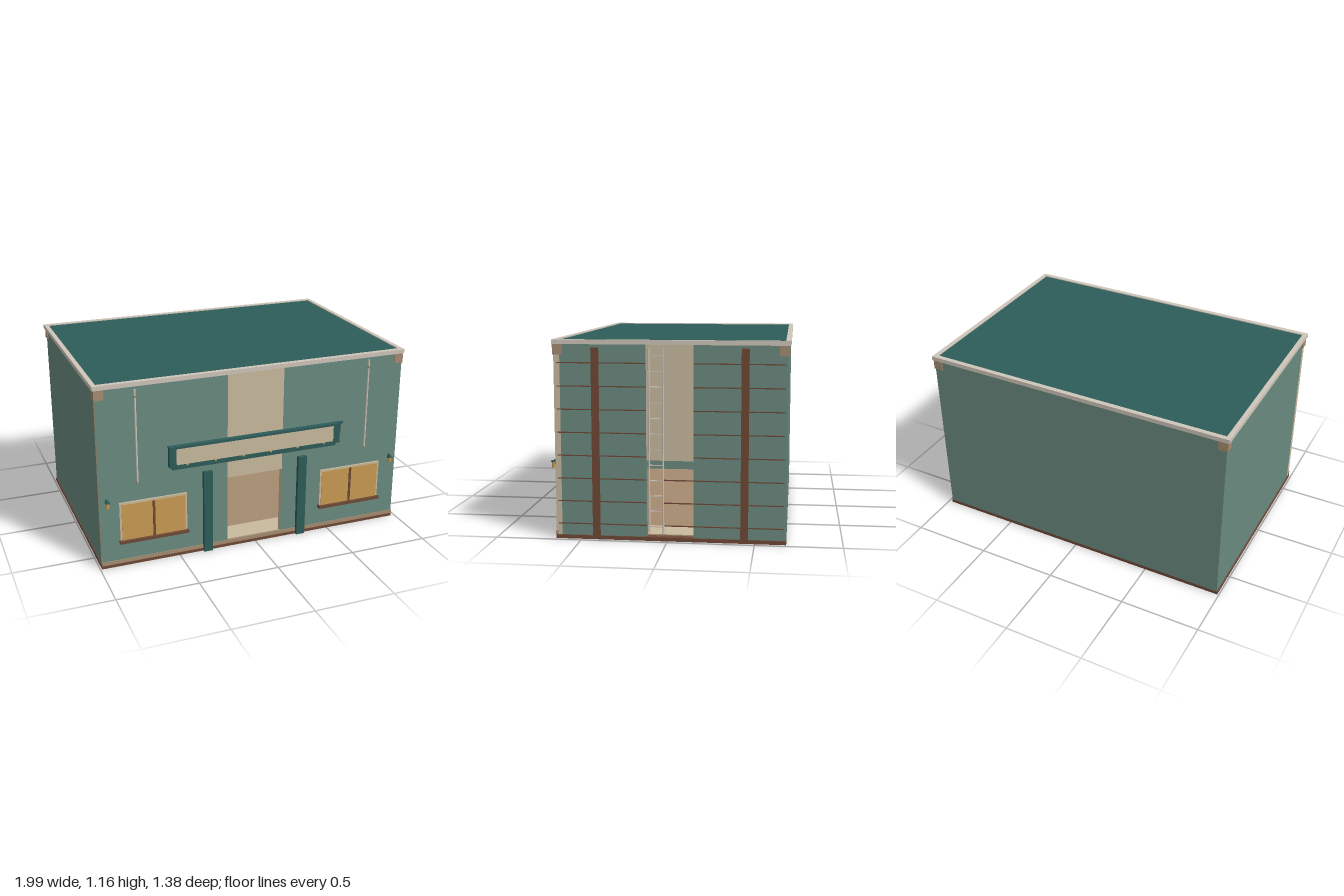
import * as THREE from 'three';

const paint = (name, color) => {
  const m = new THREE.MeshStandardMaterial({ color });
  m.name = name;
  return m;
};

export function createModel() {
  const model = new THREE.Group();
  model.name = 'shopBuilding';
  const green = paint('wallGreen', 0x6a8a7e);
  const teal = paint('darkTeal', 0x2d5c59);
  const cream = paint('cream', 0xc9ba9e);
  const pale = paint('paleTrim', 0xcfc6ba);
  const tan = paint('tan', 0xa58b70);
  const brown = paint('brown', 0x6e4835);
  const gold = paint('gold', 0xc99a52);

  // Box given by its limits on each axis
  const box = (name, mat, x0, x1, y0, y1, z0, z1, parent = model) => {
    const mesh = new THREE.Mesh(new THREE.BoxGeometry(x1 - x0, y1 - y0, z1 - z0), mat);
    mesh.position.set((x0 + x1) / 2, (y0 + y1) / 2, (z0 + z1) / 2);
    mesh.name = name;
    parent.add(mesh);
    return mesh;
  };
  const rod = (name, mat, r, x, y0, y1, z, parent = model) => {
    const mesh = new THREE.Mesh(new THREE.CylinderGeometry(r, r, y1 - y0, 10), mat);
    mesh.position.set(x, (y0 + y1) / 2, z);
    mesh.name = name;
    parent.add(mesh);
    return mesh;
  };
  const group = (name) => {
    const g = new THREE.Group();
    g.name = name;
    model.add(g);
    return g;
  };

  // Floor with a lighter walkway round the inside
  box('foundation', brown, -0.99, 0.975, 0, 0.022, -0.68, 0.65);
  box('floor', tan, -0.95, 0.93, 0.022, 0.027, -0.64, 0.615);
  box('frontWalkway', cream, -0.95, 0.93, 0.027, 0.03, 0.46, 0.615);
  box('sideWalkway', cream, 0.74, 0.93, 0.027, 0.03, -0.3, 0.46);
  box('innerBaseboard', teal, -0.95, 0.93, 0.022, 0.07, -0.64, -0.632);

  // Front wall: cream ends and a cream panel over the open doorway
  const ended = [cream, cream, green, green, green, green];
  box('frontWallRight', ended, -0.985, -0.19, 0.022, 1.13, 0.615, 0.65);
  box('frontWallLeft', ended, 0.17, 0.97, 0.022, 1.13, 0.615, 0.65);
  box('frontDoorPanel', cream, -0.19, 0.17, 0.47, 1.13, 0.615, 0.65);
  box('frontPlinth', tan, -0.988, 0.973, 0.022, 0.045, 0.64, 0.655);

  // Back and side walls, the left one with its own doorway
  box('backWall', green, -0.985, 0.97, 0.022, 1.13, -0.68, -0.64);
  box('rightWall', green, -0.985, -0.95, 0.022, 1.13, -0.64, 0.615);
  box('leftWallBack', green, 0.93, 0.967, 0.022, 1.13, -0.64, -0.15);
  box('leftWallFront', green, 0.93, 0.967, 0.022, 1.13, 0.12, 0.615);
  box('sideDoorPanel', cream, 0.93, 0.967, 0.47, 1.13, -0.15, 0.12);

  // Brown battens and pilasters on the left wall
  const battens = group('battens');
  for (let i = 0; i < 8; i++) {
    const y = 0.09 + i * 0.1335;
    const end = y < 0.47 ? 0.02 : -0.15;
    box('batten', brown, 0.965, 0.972, y - 0.003, y + 0.003, -0.665, end, battens);
    box('batten', brown, 0.965, 0.972, y - 0.003, y + 0.003, 0.12, 0.635, battens);
  }
  for (const z of [0.412, -0.441])
    box('pilaster', brown, 0.965, 0.976, 0.022, 1.112, z - 0.022, z + 0.022);

  // Ladder
  const ladder = group('ladder');
  for (const z of [0.02, 0.1]) rod('ladderRail', pale, 0.005, 0.99, 0.045, 1.11, z, ladder);
  for (let i = 0; i < 12; i++) {
    const y = 0.09 + i * 0.0892;
    box('ladderRung', pale, 0.987, 0.993, y - 0.003, y + 0.003, 0.02, 0.1, ladder);
  }

  // Roof slab with a pale rim
  box('roof', teal, -0.972, 0.952, 1.12, 1.15, -0.662, 0.627);
  const rim = group('roofRim');
  box('rimFront', pale, -1, 0.98, 1.13, 1.156, 0.627, 0.658, rim);
  box('rimBack', pale, -1, 0.98, 1.13, 1.156, -0.692, -0.662, rim);
  box('rimRight', pale, -1, -0.972, 1.13, 1.156, -0.662, 0.627, rim);
  box('rimLeft', pale, 0.952, 0.98, 1.13, 1.156, -0.662, 0.627, rim);
  for (const x of [-0.963, 0.945])
    for (const z of [0.627, -0.658])
      box('cornerBlock', tan, x - 0.029, x + 0.029, 1.07, 1.13, z - 0.029, z + 0.029);

  // Sign board with a row of small bulbs and an end bracket
  const sign = group('sign');
  box('signBoard', teal, -0.545, 0.525, 0.585, 0.607, 0.65, 0.672, sign);
  box('signBacking', teal, -0.565, 0.545, 0.605, 0.735, 0.65, 0.672, sign);
  box('signFrameTop', teal, -0.565, 0.545, 0.72, 0.735, 0.672, 0.682, sign);
  box('signFrameBottom', teal, -0.565, 0.545, 0.605, 0.618, 0.672, 0.682, sign);
  box('signFrameRight', teal, -0.565, -0.522, 0.618, 0.72, 0.672, 0.682, sign);
  box('signFrameLeft', teal, 0.502, 0.545, 0.618, 0.72, 0.672, 0.682, sign);
  box('signFace', cream, -0.522, 0.502, 0.618, 0.72, 0.672, 0.68, sign);
  box('signBracket', teal, 0.545, 0.572, 0.722, 0.735, 0.652, 0.664, sign);
  box('signBracketDrop', green, 0.56, 0.572, 0.665, 0.73, 0.652, 0.664, sign);
  for (let i = 0; i < 6; i++) {
    const bulb = new THREE.Mesh(new THREE.SphereGeometry(0.007, 10, 8), gold);
    bulb.position.set(-0.457 + i * 0.178, 0.615, 0.684);
    bulb.name = 'signBulb';
    sign.add(bulb);
  }

  // Mirrored front details about the centre line x = -0.01
  for (const s of [-1, 1]) {
    const at = (d) => -0.011 + s * d;
    const px = at(0.311);
    box('doorPost', teal, px - 0.028, px + 0.028, 0.005, 0.54, 0.65, 0.675);

    const w = group('window');
    const wx = at(0.652);
    box('windowFrame', cream, wx - 0.209, wx + 0.209, 0.17, 0.42, 0.65, 0.66, w);
    box('windowPane', gold, wx - 0.197, wx + 0.197, 0.175, 0.408, 0.66, 0.664, w);
    box('windowMullion', brown, wx - 0.007, wx + 0.007, 0.175, 0.408, 0.66, 0.669, w);
    box('windowSill', brown, wx - 0.215, wx + 0.215, 0.16, 0.177, 0.65, 0.68, w);

    const pipe = group('wallPipe');
    const dx = at(0.745);
    rod('pipe', pale, 0.006, dx, 0.54, 1.115, 0.66, pipe);
    rod('pipeCollar', tan, 0.009, dx, 1.065, 1.077, 0.66, pipe);
    rod('pipeFoot', tan, 0.008, dx, 0.533, 0.543, 0.66, pipe);

    const lamp = group('wallLamp');
    const lx = at(0.934);
    box('lampMount', teal, lx - 0.006, lx + 0.006, 0.43, 0.456, 0.65, 0.668, lamp);
    box('lampCap', teal, lx - 0.012, lx + 0.012, 0.441, 0.448, 0.656, 0.686, lamp);
    rod('lampGlass', gold, 0.011, lx, 0.408, 0.441, 0.671, lamp);
  }
  return model;
}
